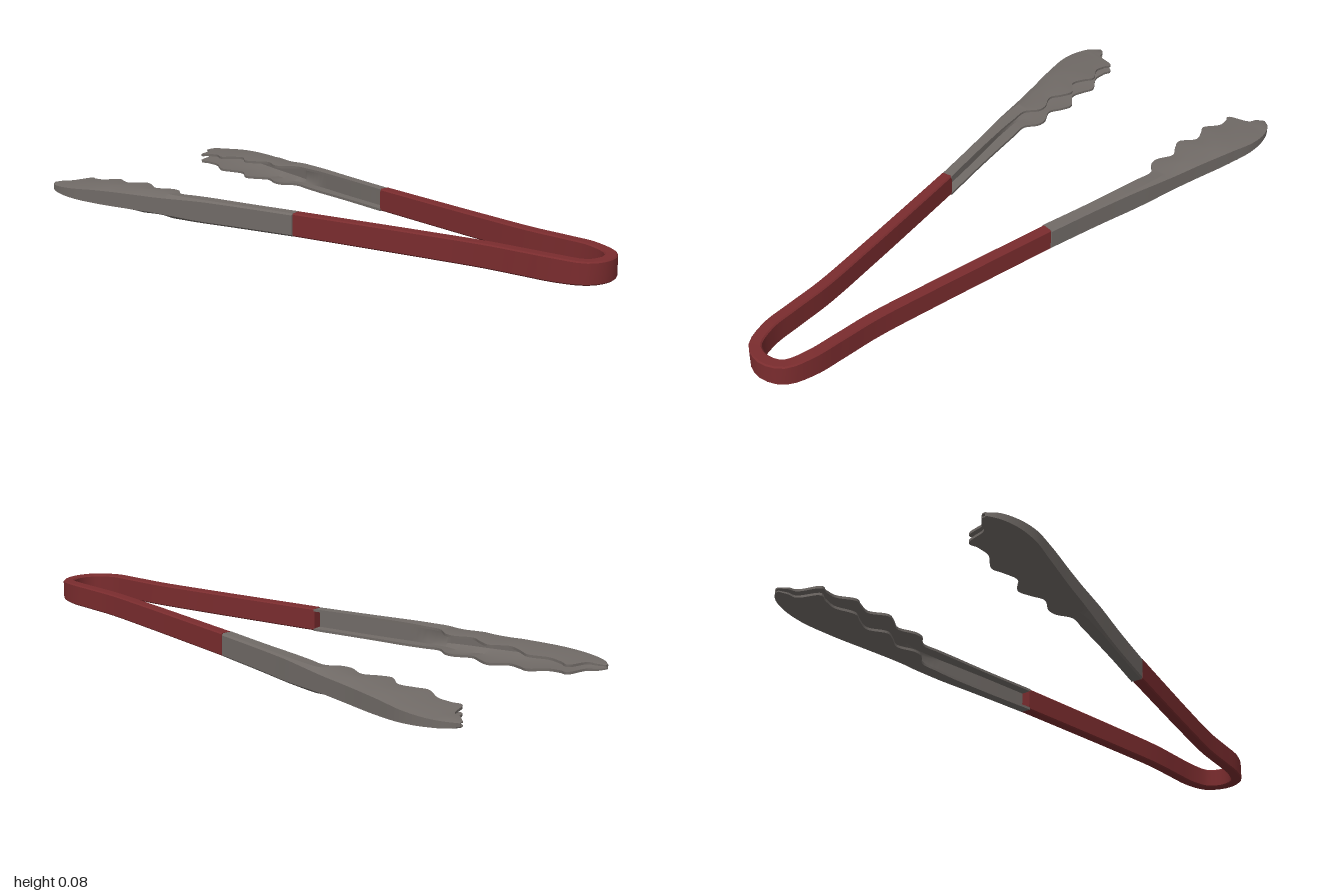
import * as THREE from 'three';
import { toCreasedNormals } from 'three/addons/utils/BufferGeometryUtils.js';

const MID_Y = 0.042;

// Skin a run of stations { o: origin, r: right direction, pts: section, counterclockwise seen from the start }
function loft(stations) {
  const n = stations[0].pts.length;
  const pos = [], idx = [];
  for (const { o, r, pts } of stations) {
    for (const p of pts) pos.push(o.x + r.x * p.x, o.y + p.y, o.z + r.z * p.x);
  }
  for (let i = 0; i < stations.length - 1; i++) {
    for (let j = 0; j < n; j++) {
      const k = (j + 1) % n;
      const a = i * n + j, b = i * n + k, c = (i + 1) * n + k, d = (i + 1) * n + j;
      idx.push(a, d, c, a, c, b);
    }
  }
  // End caps
  const last = (stations.length - 1) * n;
  for (const [a, b, c] of THREE.ShapeUtils.triangulateShape(stations[0].pts, [])) idx.push(a, b, c);
  for (const [a, b, c] of THREE.ShapeUtils.triangulateShape(stations[stations.length - 1].pts, [])) {
    idx.push(last + a, last + c, last + b);
  }
  const geo = new THREE.BufferGeometry();
  geo.setAttribute('position', new THREE.Float32BufferAttribute(pos, 3));
  geo.setIndex(idx);
  return toCreasedNormals(geo, 0.6);
}

// Smooth lookup through [distance, value] pairs
function profile(pairs) {
  const f = new THREE.CubicInterpolant(pairs.map(p => p[0]), pairs.map(p => p[1]), 1);
  return t => f.evaluate(t)[0];
}

// U-shaped handle: a bevelled bar swept round the bend
function handleGeometry() {
  const half = [[0.215, 0], [0.177, 0.22], [0.14, 0.44], [0.108, 0.65], [0.099, 0.78], [0.09, 0.88], [0.06, 0.955]];
  const all = [...half, [0, 0.978], ...half.slice().reverse().map(([x, z]) => [-x, z])];
  const curve = new THREE.CatmullRomCurve3(all.map(([x, z]) => new THREE.Vector3(x, MID_Y, z)));
  const up = new THREE.Vector3(0, 1, 0);
  const stations = [];
  const N = 90;
  for (let i = 0; i <= N; i++) {
    const o = curve.getPointAt(i / N);
    const r = curve.getTangentAt(i / N).cross(up).normalize();
    // The bar dips a little at the bend
    const top = 0.038 - 0.006 * THREE.MathUtils.smoothstep(o.z, 0.85, 0.98);
    const w = 0.019, h = 0.036, b = 0.004;
    const pts = [[w - b, -h], [w, b - h], [w, top - b], [w - b, top], [b - w, top], [-w, top - b], [-w, b - h], [b - w, -h]];
    stations.push({ o, r, pts: pts.map(p => new THREE.Vector2(...p)) });
  }
  return loft(stations);
}

// Metal arm: a channel open towards the middle, widening into a scalloped scoop
const outerX = profile([[0, 0.235], [0.2, 0.275], [0.4, 0.32], [0.6, 0.363], [0.75, 0.398], [0.85, 0.417],
  [0.93, 0.411], [0.98, 0.39], [1, 0.37]]);
const innerX = profile([[0, 0.195], [0.2, 0.235], [0.4, 0.268], [0.46, 0.274], [0.5, 0.246], [0.53, 0.243],
  [0.59, 0.268], [0.63, 0.248], [0.67, 0.235], [0.72, 0.27], [0.77, 0.256], [0.8, 0.242], [0.86, 0.273],
  [0.9, 0.27], [0.935, 0.268], [0.95, 0.322], [0.98, 0.34], [1, 0.357]]);
const halfHeight = profile([[0, 0.037], [0.2, 0.038], [0.4, 0.039], [0.6, 0.039], [0.75, 0.035], [0.85, 0.026],
  [0.93, 0.018], [0.98, 0.013], [1, 0.008]]);

function armSection(d) {
  const xo = outerX(d), xi = innerX(d), h = halfHeight(d), w = xo - xi;
  const head = THREE.MathUtils.smoothstep(d, 0.3, 0.55);
  const t = Math.min(0.008, h * 0.45);
  const wall = xo - Math.min(t, w * 0.4);
  const ridge = xo - w * (0.15 + 0.2 * head);
  const lip = h * (1 - 0.15 * head);
  const side = h * (0.85 - 0.2 * head);
  const upper = [[xi, lip - t], [Math.min(ridge, wall), h - t], [wall, side - t]];
  const outer = [[xo, side], [ridge, h], [xi, lip]];
  const flip = list => list.map(([x, y]) => [x, -y]).reverse();
  return [...flip(outer), ...outer, ...upper, ...flip(upper)].map(p => new THREE.Vector2(...p));
}

function armGeometry(sign) {
  const stations = [];
  const N = 130;
  for (let i = 0; i <= N; i++) {
    const s = i / N;
    const d = s < 0.15 ? s * 2.8 : 0.42 + (s - 0.15) * 0.58 / 0.85;
    let pts = armSection(Math.min(d, 1));
    if (sign < 0) pts = pts.map(p => new THREE.Vector2(-p.x, p.y)).reverse();
    stations.push({ o: new THREE.Vector3(0, MID_Y, -Math.min(d, 1)), r: new THREE.Vector3(1, 0, 0), pts });
  }
  return loft(stations);
}

export function createModel() {
  const grip = new THREE.MeshStandardMaterial({ color: 0x7a2c2e });
  grip.name = 'dark red grip';
  const metal = new THREE.MeshStandardMaterial({ color: 0x716b67 });
  metal.name = 'warm grey metal';

  const group = new THREE.Group();
  group.name = 'tongs';
  const add = (name, geo, mat) => {
    const mesh = new THREE.Mesh(geo, mat);
    mesh.name = name;
    group.add(mesh);
  };
  add('handle', handleGeometry(), grip);
  add('leftArm', armGeometry(1), metal);
  add('rightArm', armGeometry(-1), metal);
  return group;
}
